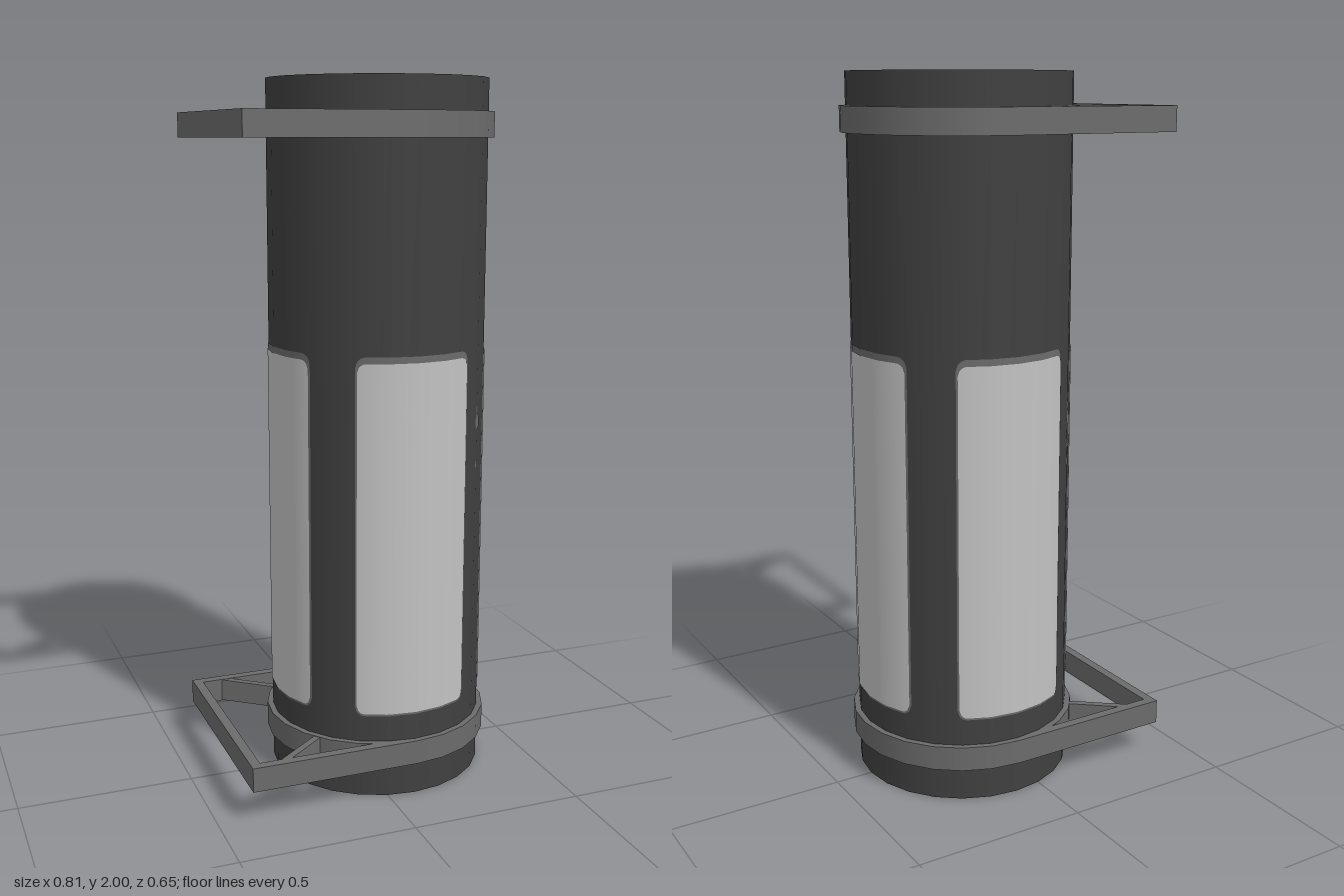
import * as THREE from 'three';

const CX = 0.08, R = 0.31, INNER = 0.294, BAND = 0.327, SIDES = 24;
const rad = THREE.MathUtils.degToRad;
const mat = (name, color, side = THREE.FrontSide) => {
  const m = new THREE.MeshStandardMaterial({ color, side });
  m.name = name;
  return m;
};

// Distance from the axis to the faceted wall at an angle in degrees
function wallRadius(deg, r) {
  const step = 360 / SIDES;
  const local = ((deg % step) + step) % step - step / 2;
  return r * Math.cos(rad(step / 2)) / Math.cos(rad(local));
}

// Thin sheet wrapped on the wall, its corners rounded by radius c
function wrappedSheet(mid, half, y0, y1, lift, c) {
  const n = Math.max(8, Math.round(half * 2));
  const g = new THREE.PlaneGeometry(2, 1, n, 1);
  const p = g.attributes.position, nor = g.attributes.normal;
  const halfWidth = rad(half) * R;
  for (let i = 0; i < p.count; i++) {
    const u = p.getX(i), top = p.getY(i) > 0;
    const over = Math.max(0, Math.abs(u) * halfWidth - (halfWidth - c));
    const inset = c - Math.sqrt(Math.max(0, c * c - over * over));
    const deg = mid + u * half, a = rad(deg);
    const r = wallRadius(deg, R) + lift;
    p.setXYZ(i, Math.sin(a) * r, top ? y1 - inset : y0 + inset, Math.cos(a) * r);
    nor.setXYZ(i, Math.sin(a), 0, Math.cos(a));
  }
  return g;
}

export function createModel() {
  const dark = mat('dark casing', 0x404040);
  const grey = mat('grey metal', 0x6b6b6b);
  const pale = mat('pale panel', 0xc2c2c2, THREE.DoubleSide);
  const navy = mat('navy rim', 0x0c3a62);
  const tan = mat('tan lining', 0x8c7a62, THREE.DoubleSide);
  const olive = mat('olive dome', 0x6c7540);

  const model = new THREE.Group();
  model.name = 'canister';
  const tube = new THREE.Group();
  tube.name = 'tube';
  tube.position.x = CX;
  model.add(tube);

  const add = (parent, name, geometry, material, x = 0, y = 0, z = 0) => {
    const m = new THREE.Mesh(geometry, material);
    m.name = name;
    m.position.set(x, y, z);
    parent.add(m);
    return m;
  };

  // Open outer casing
  add(tube, 'casing', new THREE.CylinderGeometry(R, R, 2, SIDES, 1, true), dark, 0, 1, 0);

  // Matching ends: rim, lining, streaks and recessed dome
  for (const top of [true, false]) {
    const end = new THREE.Group();
    end.name = top ? 'topEnd' : 'bottomEnd';
    end.position.y = top ? 2 : 0;
    if (!top) end.rotation.x = Math.PI;
    tube.add(end);
    add(end, 'rim', new THREE.RingGeometry(INNER, R, SIDES).rotateX(-Math.PI / 2), navy);
    add(end, 'lining', new THREE.CylinderGeometry(INNER, INNER, 0.1, SIDES, 1, true), tan, 0, -0.05, 0);
    const dome = new THREE.SphereGeometry(INNER, 48, 12, 0, Math.PI * 2, 0, Math.PI / 2);
    dome.scale(1, 0.06 / INNER, 1);
    add(end, 'dome', dome, olive, 0, -0.07, 0);
    for (let i = 0; i < 4; i++) {
      const a = rad((top ? 17 : 163) + i * 90), r = INNER - 0.006;
      const streak = add(end, 'liningStreak', new THREE.BoxGeometry(0.018, 0.045, 0.003), pale,
        Math.sin(a) * r, -0.026, Math.cos(a) * r);
      streak.rotation.y = a;
    }
  }

  // Four wrapped panels with a thin grey border
  for (let i = 0; i < 4; i++) {
    add(tube, 'panelBorder', wrappedSheet(i * 90, 32.5, 0.242, 1.268, 0.0015, 0.03), grey);
    add(tube, 'panel', wrappedSheet(i * 90, 31.5, 0.248, 1.25, 0.003, 0.025), pale);
  }

  // Small worn spots between the panels: height, half width, half height
  const spots = [[1.055, 0.015, 0.022], [1.09, 0.007, 0.016], [0.98, 0.01, 0.014], [0.93, 0.01, 0.012]];
  for (const deg of [45, 225]) {
    spots.forEach(([y, w, h], k) => {
      if (deg === 45 && k === 2) return;
      const a = rad(deg), r = R + 0.001;
      const spot = add(tube, 'wornSpot', new THREE.CircleGeometry(1, 16), grey,
        Math.sin(a) * r, y, Math.cos(a) * r);
      spot.scale.set(w, h, 1);
      spot.rotation.y = a;
    });
  }

  // Clamp bands with their wall brackets
  for (const [name, y, h] of [['lowerBracket', 0.131, 0.07], ['upperBracket', 1.875, 0.07]]) {
    const bracket = new THREE.Group();
    bracket.name = name;
    bracket.position.y = y;
    model.add(bracket);
    add(bracket, 'band', new THREE.CylinderGeometry(BAND, BAND, h, SIDES), grey, CX);
    add(bracket, 'endBar', new THREE.BoxGeometry(0.028, h, 0.6), grey, -0.394);
    for (const s of [-1, 1]) {
      add(bracket, 'arm', new THREE.BoxGeometry(0.488, h, 0.028), grey, -0.164, 0, s * 0.313);
      // Diagonal brace from arm to band
      const x0 = -0.315, z0 = 0.308, x1 = -0.15, z1 = 0.175;
      const brace = add(bracket, 'brace',
        new THREE.BoxGeometry(Math.hypot(x1 - x0, z1 - z0), h * 0.96, 0.02), grey,
        (x0 + x1) / 2, 0, s * (z0 + z1) / 2);
      brace.rotation.y = -s * Math.atan2(z1 - z0, x1 - x0);
    }
  }
  return model;
}
